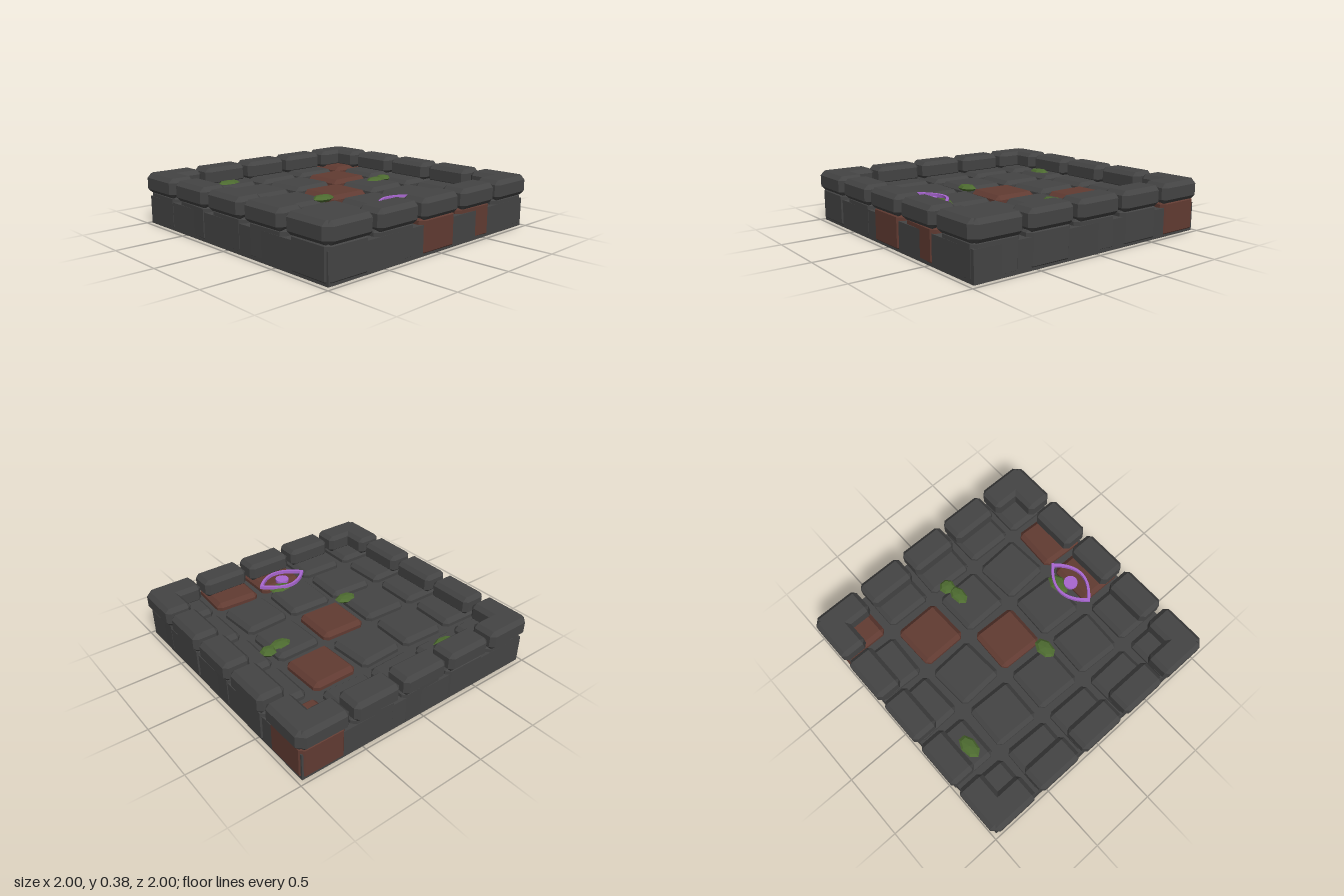
import * as THREE from 'three';
import { ConvexGeometry } from 'three/addons/geometries/ConvexGeometry.js';

const mat = (name, color, extra = {}) => {
  const m = new THREE.MeshStandardMaterial({ color, ...extra });
  m.name = name;
  return m;
};

// Box with every edge cut at 45 degrees
function chamferBox(w, h, d, c) {
  const pts = [];
  for (const sx of [-1, 1]) for (const sy of [-1, 1]) for (const sz of [-1, 1]) {
    for (let axis = 0; axis < 3; axis++) {
      const cut = [c, c, c];
      cut[axis] = 0;
      pts.push(new THREE.Vector3(sx * (w / 2 - cut[0]), sy * (h / 2 - cut[1]), sz * (d / 2 - cut[2])));
    }
  }
  return new ConvexGeometry(pts);
}

export function createModel() {
  const model = new THREE.Group();
  const stone = mat('dark stone', 0x444444);
  const brick = mat('red brick', 0x613b32);
  const mossGreen = mat('moss green', 0x4d6b30, { flatShading: true });
  const violet = mat('violet', 0xa866d0);

  const add = (parent, name, geometry, material, x, y, z) => {
    const mesh = new THREE.Mesh(geometry, material);
    mesh.name = name;
    mesh.position.set(x, y, z);
    parent.add(mesh);
    return mesh;
  };
  const group = (name) => {
    const g = new THREE.Group();
    g.name = name;
    model.add(g);
    return g;
  };

  // Base slab
  add(model, 'baseSlab', new THREE.BoxGeometry(1.94, 0.207, 1.94), stone, 0, 0.1065, 0);

  // Paving tiles: clockwise turn in degrees, rows from back to front
  const tiles = group('pavingTiles');
  const turns = [
    [1, 0.5, -2, 2, 0],
    [2, 2, -3, -1, 0.5],
    [1, 2, 2, -1, 2],
    [-1, 3, 2.5, -3, 0.5],
    [0.5, 1, 0.5, 3, 1],
  ];
  const redTiles = ['0,4', '1,3', '2,2', '4,2', '4,3'];
  const tileGeometry = chamferBox(0.345, 0.265, 0.345, 0.03);
  turns.forEach((row, r) => row.forEach((turn, c) => {
    const red = redTiles.includes(`${r},${c}`);
    // Nearly straight edge tiles stand a little proud of the slab
    const out = Math.abs(turn) <= 0.5 ? 0.006 : -0.003;
    const place = (i) => (i - 2) * 0.4 + (i === 4 ? out : i === 0 ? -out : 0);
    const tile = add(tiles, red ? 'redTile' : 'stoneTile', tileGeometry, red ? brick : stone,
      place(c), 0.1325, place(r));
    tile.rotation.y = -THREE.MathUtils.degToRad(turn);
  }));

  // Raised rim, five blocks per side; end blocks overlap at the corners
  const rim = group('rimBlocks');
  const blockGeometry = chamferBox(0.36, 0.143, 0.2, 0.03);
  for (let side = 0; side < 4; side++) {
    const run = new THREE.Group();
    run.name = 'rimSide';
    run.rotation.y = side * Math.PI / 2;
    for (let i = -2; i <= 2; i++) add(run, 'rimBlock', blockGeometry, stone, i * 0.4, 0.3125, 0.9);
    rim.add(run);
  }

  // Moss clumps: x, z, half width, half depth
  const moss = group('mossClumps');
  const clump = new THREE.SphereGeometry(1, 7, 4);
  for (const [x, z, rx, rz] of [
    [-0.43, -0.735, 0.1, 0.06],
    [-0.25, 0.145, 0.09, 0.06],
    [0.49, -0.05, 0.09, 0.055],
    [0.6, -0.07, 0.06, 0.06],
    [0.06, 0.57, 0.095, 0.062],
  ]) {
    add(moss, 'mossClump', clump, mossGreen, x, 0.262, z).scale.set(rx, 0.026, rz);
  }

  // Floating eye sign: lens-shaped band and round pupil
  const eye = group('eyeSign');
  eye.position.set(0, 0.275, 0.637);
  const lens = (Type, w, h) => {
    const s = new Type();
    s.moveTo(-w, 0);
    s.quadraticCurveTo(0, -2 * h, w, 0);
    s.quadraticCurveTo(0, 2 * h, -w, 0);
    return s;
  };
  const band = lens(THREE.Shape, 0.208, 0.118);
  band.holes.push(lens(THREE.Path, 0.178, 0.1));
  const bandGeometry = new THREE.ExtrudeGeometry(band, { depth: 0.024, bevelEnabled: false, curveSegments: 20 });
  bandGeometry.rotateX(-Math.PI / 2);
  add(eye, 'eyeOutline', bandGeometry, violet, 0, 0, 0);
  add(eye, 'pupil', new THREE.CylinderGeometry(0.052, 0.052, 0.02, 20), violet, 0, 0.01, 0);

  return model;
}
